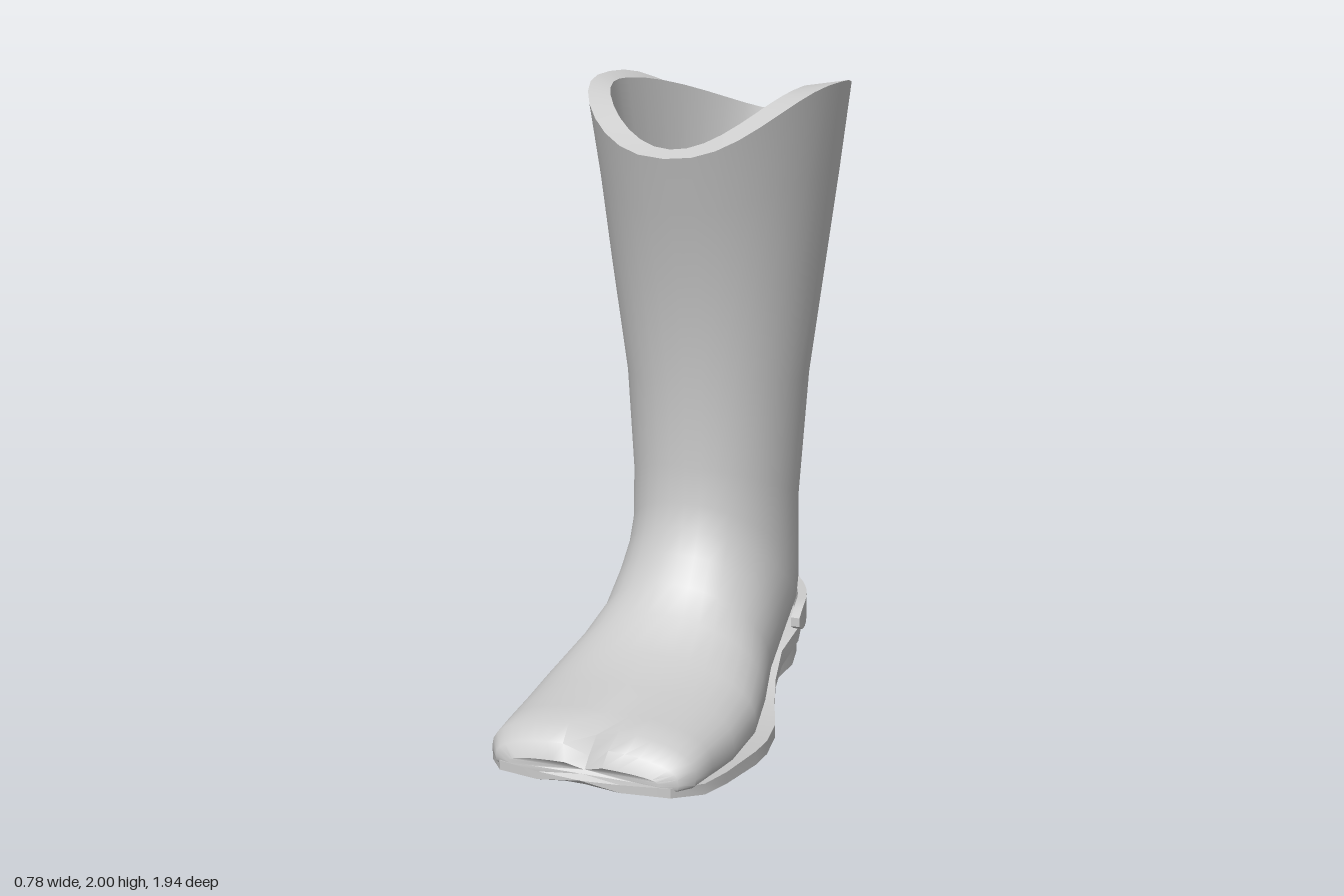
import * as THREE from 'three';
import { toCreasedNormals } from 'three/addons/utils/BufferGeometryUtils.js';

const material = new THREE.MeshStandardMaterial({ color: 0xcccccc });

// Skin a list of equal-length rings and close both ends with fans.
function loft(rings, crease, startInset = 0) {
  const n = rings[0].length, pos = rings.flat(2), idx = [];
  for (let r = 0; r < rings.length - 1; r++) {
    for (let i = 0; i < n; i++) {
      const a = r * n + i, b = r * n + (i + 1) % n;
      idx.push(a, b, b + n, a, b + n, a + n);
    }
  }
  [0, rings.length - 1].forEach((r, end) => {
    const c = [0, 1, 2].map(k => rings[r].reduce((s, p) => s + p[k], 0) / n);
    if (!end) c[2] -= startInset;
    const ci = pos.length / 3;
    pos.push(...c);
    for (let i = 0; i < n; i++) {
      const a = r * n + i, b = r * n + (i + 1) % n;
      idx.push(ci, end ? a : b, end ? b : a);
    }
  });
  const g = new THREE.BufferGeometry();
  g.setAttribute('position', new THREE.Float32BufferAttribute(pos, 3));
  g.setIndex(idx);
  return toCreasedNormals(g, crease);
}

// Section between a front/top point and a back/bottom point.
// c: where it is widest, ef/eb: squareness of each half, lift: raise of the sides
function section([py, pz, qy, qz, w, c, ef, eb, lift = 0, dent = 0]) {
  const cy = qy + (py - qy) * c, cz = qz + (pz - qz) * c, N = 36, ring = [];
  for (let i = 0; i < N; i++) {
    const a = i / N * Math.PI * 2, s = Math.sin(a), k = Math.cos(a);
    const e = 2 / (k > 0 ? ef : eb), t = Math.abs(k) ** e;
    const [ty, tz] = k > 0 ? [py, pz] : [qy, qz];
    const d = i === 0 ? dent : 0;
    ring.push([
      w * Math.sign(s) * Math.abs(s) ** e,
      cy + (ty - cy) * t + lift * (1 - Math.abs(k) ** 2.4) - d,
      cz + (tz - cz) * t - d * 0.6,
    ]);
  }
  return ring;
}

// Slab from stations [z, halfWidth, top, bottom, centreInset]
const slab = stations => loft(stations.map(([z, w, t, b, inset = 0]) => [
  [-w, t, z], [0, t, z - inset], [w, t, z], [w, b, z], [0, b, z - inset], [-w, b, z],
]), 0.5);

// Flat side-on shape of points [z, y], centred on x
function plate(points, depth, x) {
  const g = new THREE.ExtrudeGeometry(
    new THREE.Shape(points.map(p => new THREE.Vector2(...p))), { depth, bevelEnabled: false });
  return g.rotateY(-Math.PI / 2).translate(x + depth / 2, 0, 0);
}

export function createModel() {
  const model = new THREE.Group();
  const add = (name, geometry) => {
    const m = new THREE.Mesh(geometry, material);
    m.name = name;
    model.add(m);
  };

  // Upper: toe, instep, shaft, scalloped rim, then down the lining
  const toeToRim = [
    [0.15, 0.935, 0.11, 0.935, 0.24, 0.3, 2.5, 4, 0, 0.02],
    [0.2, 0.915, 0.09, 0.915, 0.29, 0.3, 2.5, 4, 0, 0.04],
    [0.235, 0.85, 0.08, 0.87, 0.325, 0.3, 2.5, 4, 0, 0.035],
    [0.245, 0.75, 0.06, 0.75, 0.335, 0.3, 2.5, 4, 0, 0.012],
    [0.255, 0.58, 0.035, 0.6, 0.35, 0.3, 2.4, 4],
    [0.29, 0.41, 0.03, 0.4, 0.355, 0.3, 2.2, 4],
    [0.36, 0.265, 0.04, 0.2, 0.325, 0.3, 2.1, 4],
    [0.44, 0.19, 0.06, 0, 0.29, 0.33, 2.1, 3.5],
    [0.52, 0.135, 0.11, -0.25, 0.28, 0.4, 2.1, 3],
    [0.6, 0.1, 0.13, -0.45, 0.275, 0.45, 2.1, 2.6],
    [0.68, 0.08, 0.15, -0.555, 0.27, 0.5, 2.1, 2.2],
    [0.8, 0.075, 0.5, -0.553, 0.267, 0.5, 2.1, 2.1],
    [1.08, 0.08, 1.0, -0.59, 0.292, 0.5, 2.1, 2.1],
    [1.42, 0.14, 1.37, -0.68, 0.335, 0.5, 2.2, 2.1, 0.03],
    [1.64, 0.2, 1.58, -0.755, 0.362, 0.5, 2.2, 2.2, 0.1],
    [1.82, 0.254, 1.77, -0.825, 0.39, 0.5, 2.3, 2.2, 0.205],
  ];
  const lining = [
    [1.84, 0.2, 1.83, -0.78, 0.3, 0.65, 2, 1.5, 0.16],
    [1.4, 0.09, 1.4, -0.63, 0.25, 0.6, 2, 1.6, 0.03],
    [1, 0.03, 1, -0.54, 0.23, 0.55, 2, 1.8],
    [0.5, 0.04, 0.5, -0.5, 0.21, 0.55, 2, 2],
    [0.17, 0.06, 0.17, -0.5, 0.19, 0.55, 3, 2.5],
  ];
  add('bootUpper', loft([...toeToRim, ...lining].map(section), 0.7, 0.02));

  // Sole with a notched toe, and the undercut heel block
  add('sole', slab([
    [0.97, 0.13, 0.125, 0.1, 0.03], [0.93, 0.27, 0.118, 0.088], [0.83, 0.34, 0.1, 0.065],
    [0.7, 0.362, 0.08, 0.042], [0.5, 0.387, 0.06, 0.015], [0.4, 0.39, 0.05, 0.005],
    [0.27, 0.375, 0.045, 0], [0.12, 0.325, 0.05, 0.02], [0, 0.29, 0.075, 0.045],
    [-0.13, 0.27, 0.12, 0.065], [-0.3, 0.275, 0.14, 0.09], [-0.42, 0.25, 0.145, 0.1],
    [-0.51, 0.18, 0.15, 0.1], [-0.56, 0.08, 0.15, 0.1],
  ]));
  add('heel', slab([
    [-0.13, 0.24, 0.1, 0], [-0.3, 0.255, 0.13, 0], [-0.41, 0.235, 0.14, 0],
    [-0.5, 0.17, 0.14, 0.04], [-0.555, 0.075, 0.145, 0.065],
  ]));

  // Spur strap wrapped round the heel, rising to a plate at the back
  const strap = [];
  for (let i = 0; i <= 32; i++) {
    const a = Math.PI * (0.5 - i / 32), s = Math.sin(a), k = Math.cos(a);
    const z = -0.21 - 0.415 * k, end = Math.min(1, 0.35 + k * 5);
    const rise = THREE.MathUtils.clamp((-0.52 - z) / 0.08, 0, 1);
    const top = 0.195 + 0.045 * end + 0.085 * rise, bottom = 0.195 - 0.045 * end;
    const x = 0.305 * s, xi = 0.275 * s, zi = z + 0.035 * k;
    strap.push([[xi, top, zi], [x, top, z], [x, bottom, z], [xi, bottom, zi]]);
  }
  add('spurStrap', loft(strap, 0.6));

  // Twin forked shanks, each with a star wheel
  const shank = [
    [-0.6, 0.16], [-0.6, 0.325], [-0.84, 0.325], [-0.9, 0.355], [-0.94, 0.41], [-0.968, 0.395],
    [-0.93, 0.335], [-0.87, 0.295], [-0.93, 0.25], [-0.915, 0.225], [-0.85, 0.275],
    [-0.8, 0.285], [-0.75, 0.27], [-0.7, 0.235], [-0.65, 0.165],
  ];
  const star = Array.from({ length: 20 }, (_, i) => {
    const r = i % 2 ? 0.025 : 0.05, a = i * Math.PI / 10;
    return [-0.92 + r * Math.cos(a), 0.238 + r * Math.sin(a)];
  });
  for (const [side, x] of [['left', 0.03], ['right', -0.03]]) {
    add(side + 'SpurShank', plate(shank, 0.024, x));
    add(side + 'SpurWheel', plate(star, 0.03, x));
  }
  return model;
}
